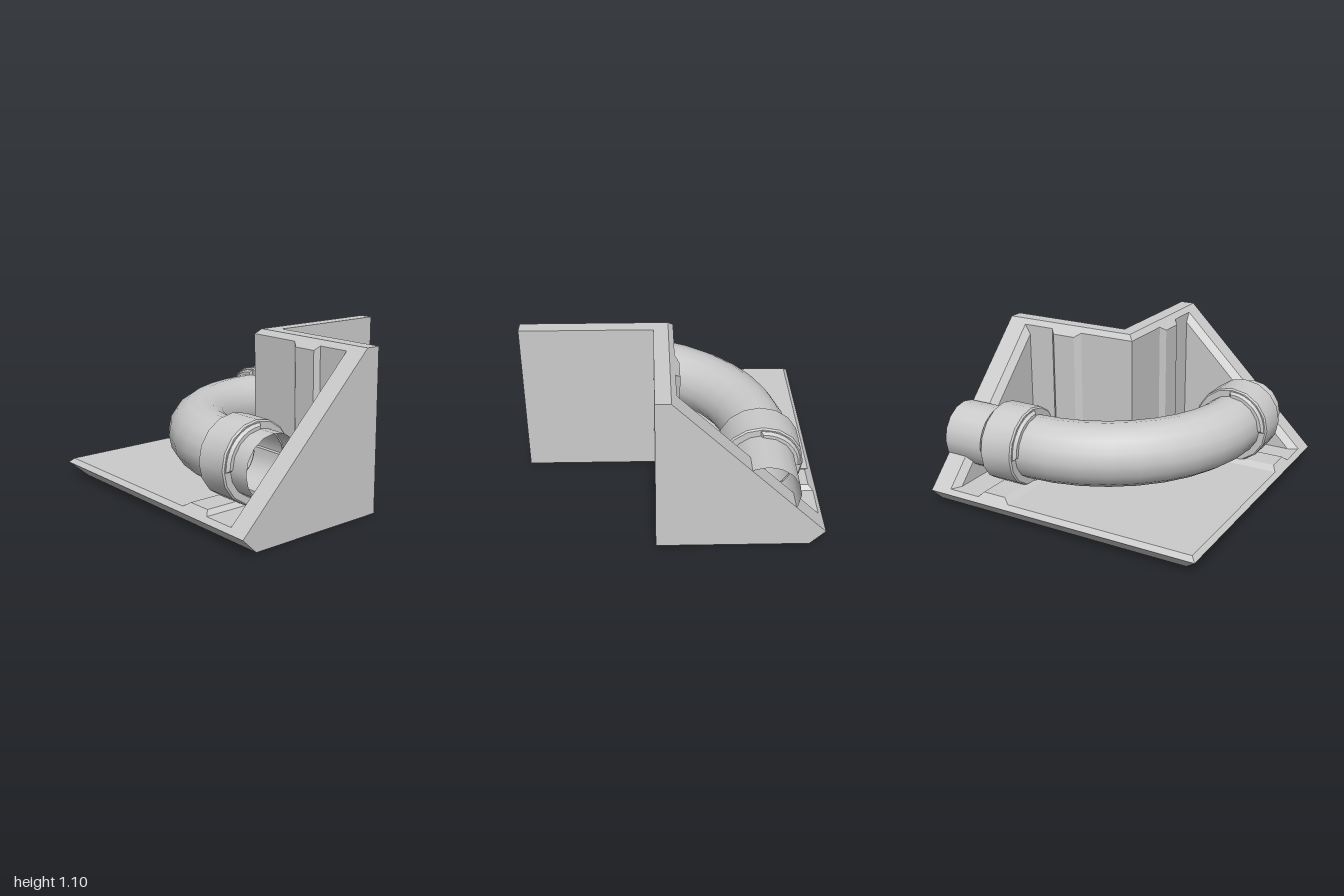
import * as THREE from 'three';
import { toCreasedNormals } from 'three/addons/utils/BufferGeometryUtils.js';

const SIDES = 16, PIPE_R = 0.22, AXIS = -0.6, AXIS_Y = 0.405;

// Cross-section of the housing, counterclockwise as [offset, height].
// rib: how far floor and wall step inward; lip: drop of the end wall's chamfer;
// solid: the hollow is filled up to the chamfer plane.
function section(rib, lip, solid) {
  const floor = 0.13 + rib, wall = -0.035 - rib;
  const a = [-0.97 + rib, floor], b = [-0.97 + lip, floor];
  const c = [wall, 1.065 - lip], d = [wall, 1.065 - rib];
  const f = solid ? [(b[0] + c[0]) / 2, (b[1] + c[1]) / 2] : [wall, floor];
  return [[-0.9, 0], [0.1, 0], [0.1, 1.1], [0, 1.1], d, c, f, b, a, [-1, 0.1]];
}

// Angled trough swept along both legs and mitred at the corner
function housingGeometry() {
  const plain = section(0, 0.07, false), ribbed = section(0.03, 0.07, false);
  const full = section(0, 0, true);
  const leg = [
    [1, full], [0.855, full], [0.815, section(0, 0.07, true)], [0.815, plain],
    [0.62, plain], [0.59, ribbed], [0.42, ribbed], [0.375, plain],
  ];
  const rings = [
    ...leg.map(([s, p]) => p.map(([o, y]) => [o, y, s])),
    plain.map(([o, y]) => [o, y, o]),
    ...leg.slice().reverse().map(([s, p]) => p.map(([o, y]) => [s, y, o])),
  ];
  const pos = [];
  const tri = (a, b, c) => pos.push(...a, ...b, ...c);
  for (let k = 0; k < rings.length - 1; k++) {
    const p = rings[k], q = rings[k + 1];
    for (let i = 0; i < p.length; i++) {
      const j = (i + 1) % p.length;
      tri(p[i], q[i], p[j]);
      tri(p[j], q[i], q[j]);
    }
  }
  // end faces
  const first = rings[0], last = rings[rings.length - 1];
  const outline = [0, 1, 2, 3, 9];
  for (let i = 1; i < 4; i++) {
    const [a, b, c] = [outline[0], outline[i], outline[i + 1]];
    tri(first[a], first[b], first[c]);
    tri(last[a], last[c], last[b]);
  }
  const g = new THREE.BufferGeometry();
  g.setAttribute('position', new THREE.Float32BufferAttribute(pos, 3));
  g.computeVertexNormals();
  return g;
}

// Quarter ring running through the collar and showing as a lip at both ends
function lipGeometry(start) {
  const s = new THREE.Shape();
  s.absarc(0, 0, 0.24, start, start + Math.PI / 2, false);
  s.absarc(0, 0, 0.2, start + Math.PI / 2, start, true);
  const g = new THREE.ExtrudeGeometry(s, {
    depth: 0.26, curveSegments: 4, bevelEnabled: true,
    bevelThickness: 0.02, bevelSize: 0.015, bevelSegments: 1,
  });
  g.translate(0, 0, -0.13);
  return toCreasedNormals(g, 0.5);
}

export function createModel() {
  const root = new THREE.Group();
  const grey = new THREE.MeshStandardMaterial({ color: 0xcccccc });
  const thin = new THREE.MeshStandardMaterial({ color: 0xcccccc, side: THREE.DoubleSide });
  const add = (parent, name, geometry, material = grey) => {
    const m = new THREE.Mesh(geometry, material);
    m.name = name;
    parent.add(m);
    return m;
  };

  add(root, 'housing', housingGeometry());

  // Quarter bend of the pipe
  const bend = new THREE.TorusGeometry(1, PIPE_R, SIDES, 9, Math.PI / 2);
  bend.rotateX(Math.PI / 2).rotateY(Math.PI);
  add(root, 'pipeBend', bend, thin).position.set(0.4, AXIS_Y, 0.4);

  // Straight pipe end with its collar, built along z
  function pipeEnd(name, end, lipStart) {
    const g = new THREE.Group();
    g.name = name;
    const len = end - 0.4;
    const tube = new THREE.CylinderGeometry(PIPE_R, PIPE_R, len, SIDES, 1, true);
    tube.rotateX(Math.PI / 2).translate(0, 0, 0.4 + len / 2);
    add(g, 'straightPipe', tube, thin);

    const profile = [[0.21, -0.125], [0.265, -0.125], [0.275, -0.115],
      [0.275, 0.115], [0.265, 0.125], [0.21, 0.125]];
    const collar = new THREE.LatheGeometry(profile.map(p => new THREE.Vector2(...p)), SIDES);
    collar.rotateX(Math.PI / 2);
    add(g, 'collar', toCreasedNormals(collar, 0.5)).position.z = 0.537;
    for (const turn of [0, Math.PI]) {
      add(g, 'collarLip', lipGeometry(lipStart + turn)).position.z = 0.537;
    }
    root.add(g);
    return g;
  }

  pipeEnd('frontPipeEnd', 0.815, Math.PI / 2).position.set(AXIS, AXIS_Y, 0);
  const side = pipeEnd('sidePipeEnd', 1, 0);
  side.rotation.y = Math.PI / 2;
  side.position.set(0, AXIS_Y, AXIS);

  return root;
}
